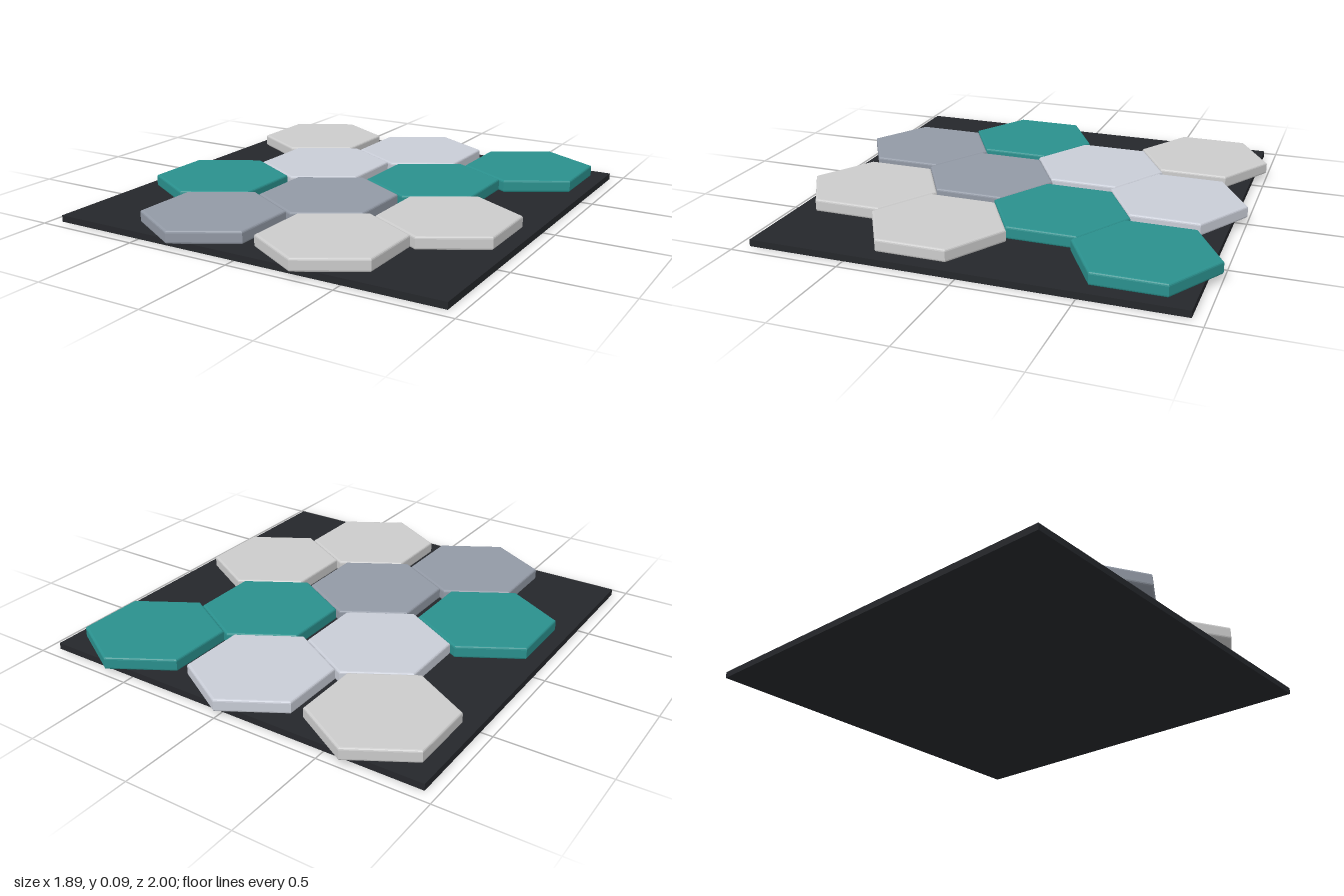
import * as THREE from 'three';

const BOARD = { width: 1.89, height: 0.03 };
const TILE = { radius: 0.315, height: 0.058, bevel: 0.01 };

// Hexagonal tile with a point towards +z and -z and softly bevelled rims
function tileGeometry() {
  const inner = TILE.radius - TILE.bevel / Math.cos(Math.PI / 6);
  const points = [];
  for (let i = 0; i < 6; i++) {
    const a = Math.PI / 6 + (i * Math.PI) / 3;
    points.push(new THREE.Vector2(Math.cos(a) * inner, Math.sin(a) * inner));
  }
  const geometry = new THREE.ExtrudeGeometry(new THREE.Shape(points), {
    depth: TILE.height - 2 * TILE.bevel,
    bevelEnabled: true,
    bevelSize: TILE.bevel,
    bevelThickness: TILE.bevel,
    bevelSegments: 3,
  });
  geometry.rotateX(-Math.PI / 2);
  geometry.translate(0, TILE.bevel, 0);
  return geometry;
}

export function createModel() {
  const model = new THREE.Group();
  model.name = 'hexTilePanel';

  const material = (color) => new THREE.MeshStandardMaterial({ color });
  const warm = material(0xc6c7c9);
  const cool = material(0xc8ccd6);
  const slate = material(0x9299a5);
  const teal = material(0x2a908d);

  // Backing board
  const board = new THREE.Mesh(
    new THREE.BoxGeometry(BOARD.width, BOARD.height, BOARD.width),
    material(0x25272b)
  );
  board.name = 'backingBoard';
  board.position.y = BOARD.height / 2;
  model.add(board);

  // Staggered rows of tiles, from back to front
  const rows = [
    [warm, cool, teal],
    [cool, teal],
    [teal, slate, warm],
    [slate, warm],
  ];
  const spacingX = 0.605;
  const spacingZ = 0.4567;
  const geometry = tileGeometry();
  const tiles = new THREE.Group();
  tiles.name = 'tiles';
  rows.forEach((row, r) => {
    row.forEach((mat, c) => {
      const tile = new THREE.Mesh(geometry, mat);
      tile.name = `tileRow${r + 1}Column${c + 1}`;
      tile.position.set((c - (row.length - 1) / 2) * spacingX, BOARD.height, (r - 1.5) * spacingZ);
      tiles.add(tile);
    });
  });
  model.add(tiles);

  return model;
}
